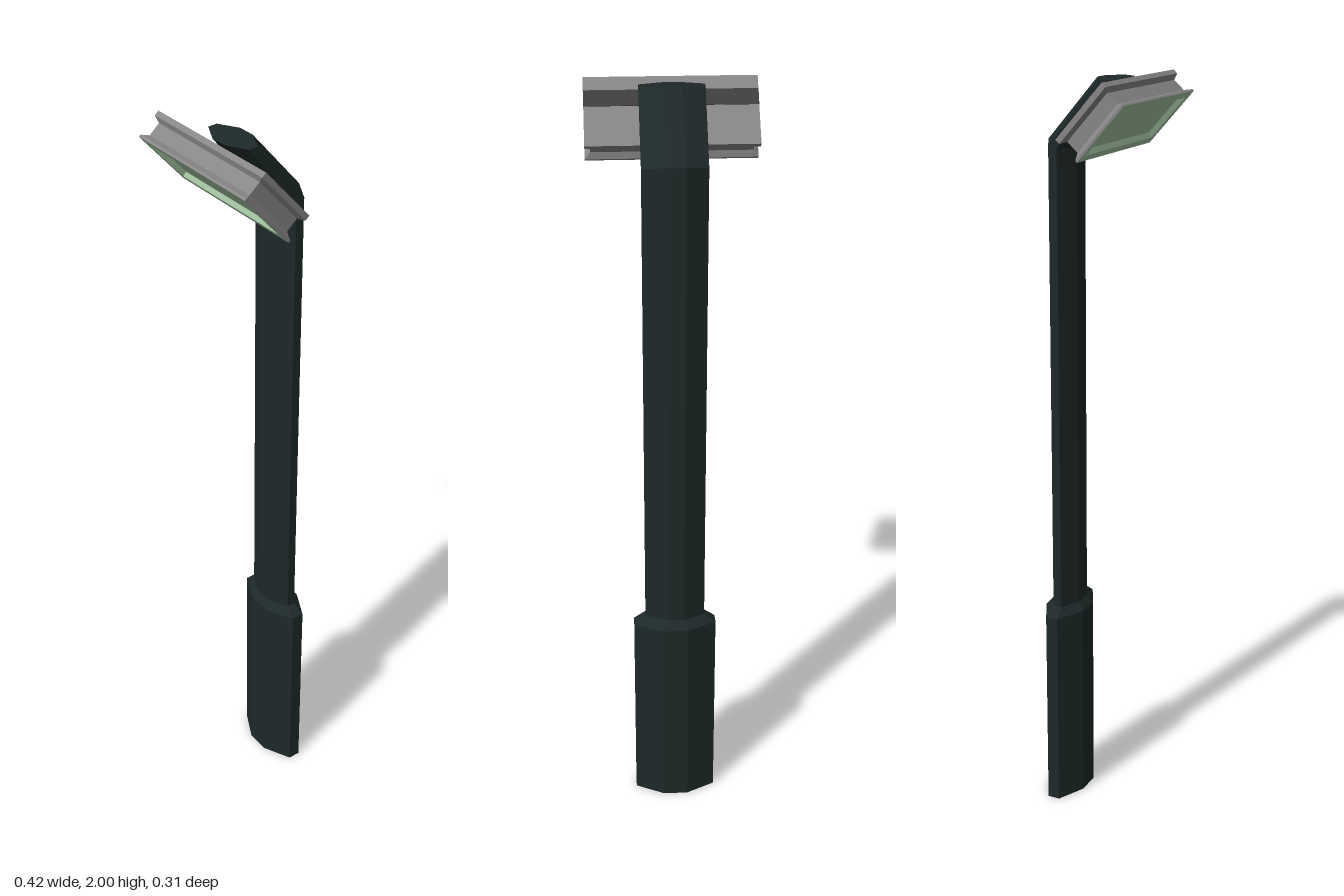
import * as THREE from 'three';

const mat = (name, color) => {
  const m = new THREE.MeshStandardMaterial({ color, side: THREE.DoubleSide, flatShading: true });
  m.name = name;
  return m;
};

// Skin a stack of counter-clockwise rings, optionally closing the last or first one
function loft(rings, { capEnd = false, capStart = false } = {}) {
  const pos = [];
  const tri = (a, b, c) => pos.push(...a, ...b, ...c);
  for (let r = 0; r < rings.length - 1; r++) {
    const a = rings[r], b = rings[r + 1];
    a.forEach((p, i) => {
      const j = (i + 1) % a.length;
      tri(p, a[j], b[j]);
      tri(p, b[j], b[i]);
    });
  }
  const last = rings[rings.length - 1], first = rings[0];
  for (let i = 1; i < last.length - 1; i++) {
    if (capEnd) tri(last[0], last[i], last[i + 1]);
    if (capStart) tri(first[0], first[i + 1], first[i]);
  }
  const g = new THREE.BufferGeometry();
  g.setAttribute('position', new THREE.Float32BufferAttribute(pos, 3));
  g.computeVertexNormals();
  return g;
}

// Flattened octagon for the post; tilt lowers its front edge
function octagon(y, w, d, z, tilt = 0) {
  const c = [[0.3, 1], [1, 0.3], [1, -0.3], [0.3, -1], [-0.3, -1], [-1, -0.3], [-1, 0.3], [-0.3, 1]];
  return c.map(([x, k]) => [x * w, y - k * tilt, z + k * d]);
}

// Rectangle for the lamp, shrunk by an inset
function rect(z, inset) {
  const x = 0.212 - inset, y = 0.091 - inset;
  return [[-x, -y, z], [x, -y, z], [x, y, z], [-x, y, z]];
}

export function createModel() {
  const postGreen = mat('dark post green', 0x1e2929);
  const housingGrey = mat('housing grey', 0x888686);
  const trimGrey = mat('dark trim grey', 0x403f3f);
  const lensGreen = mat('lens green', 0xa9cba7);

  const model = new THREE.Group();
  const add = (parent, name, geometry, material) => {
    const m = new THREE.Mesh(geometry, material);
    m.name = name;
    parent.add(m);
    return m;
  };

  // Post: wide hollow base, shoulder, slim shaft and forward-leaning arm
  const base = [octagon(0, 0.111, 0.056, -0.101), octagon(0.562, 0.111, 0.056, -0.101)];
  const foot = octagon(0.585, 0.08, 0.039, -0.099);
  const bend = octagon(1.83, 0.08, 0.039, -0.099, 0.012);
  const tip = octagon(1.994, 0.08, 0.039, 0.037, 0.003);
  add(model, 'postBase', loft(base), postGreen);
  add(model, 'postShoulder', loft([base[1], foot]), postGreen);
  add(model, 'postShaft', loft([foot, bend]), postGreen);
  add(model, 'postArm', loft([bend, tip], { capEnd: true }), postGreen);

  // Lamp head, tilted to shine forward and down
  const lamp = new THREE.Group();
  lamp.name = 'lampHead';
  lamp.position.set(0, 1.882, 0.095);
  lamp.rotation.x = 0.728;
  model.add(lamp);

  // Housing: back flange, recessed sides and a lip flaring out to the front
  add(lamp, 'backFlange', loft([rect(-0.076, 0), rect(-0.062, 0), rect(-0.054, 0.013)], { capStart: true }), housingGrey);
  add(lamp, 'sideChannel', loft([rect(-0.054, 0.013), rect(-0.018, 0.013)]), housingGrey);
  add(lamp, 'frontLip', loft([rect(-0.018, 0.013), rect(-0.006, 0), rect(0, 0)]), housingGrey);

  // Front rim, bevel and recessed lens
  add(lamp, 'lens', loft([rect(0, 0), rect(0, 0.021), rect(-0.012, 0.029)], { capEnd: true }), lensGreen);

  // Dark strip across the back
  const strip = add(lamp, 'backStrip', new THREE.BoxGeometry(0.424, 0.042, 0.003), trimGrey);
  strip.position.set(0, 0.034, -0.0763);

  return model;
}
